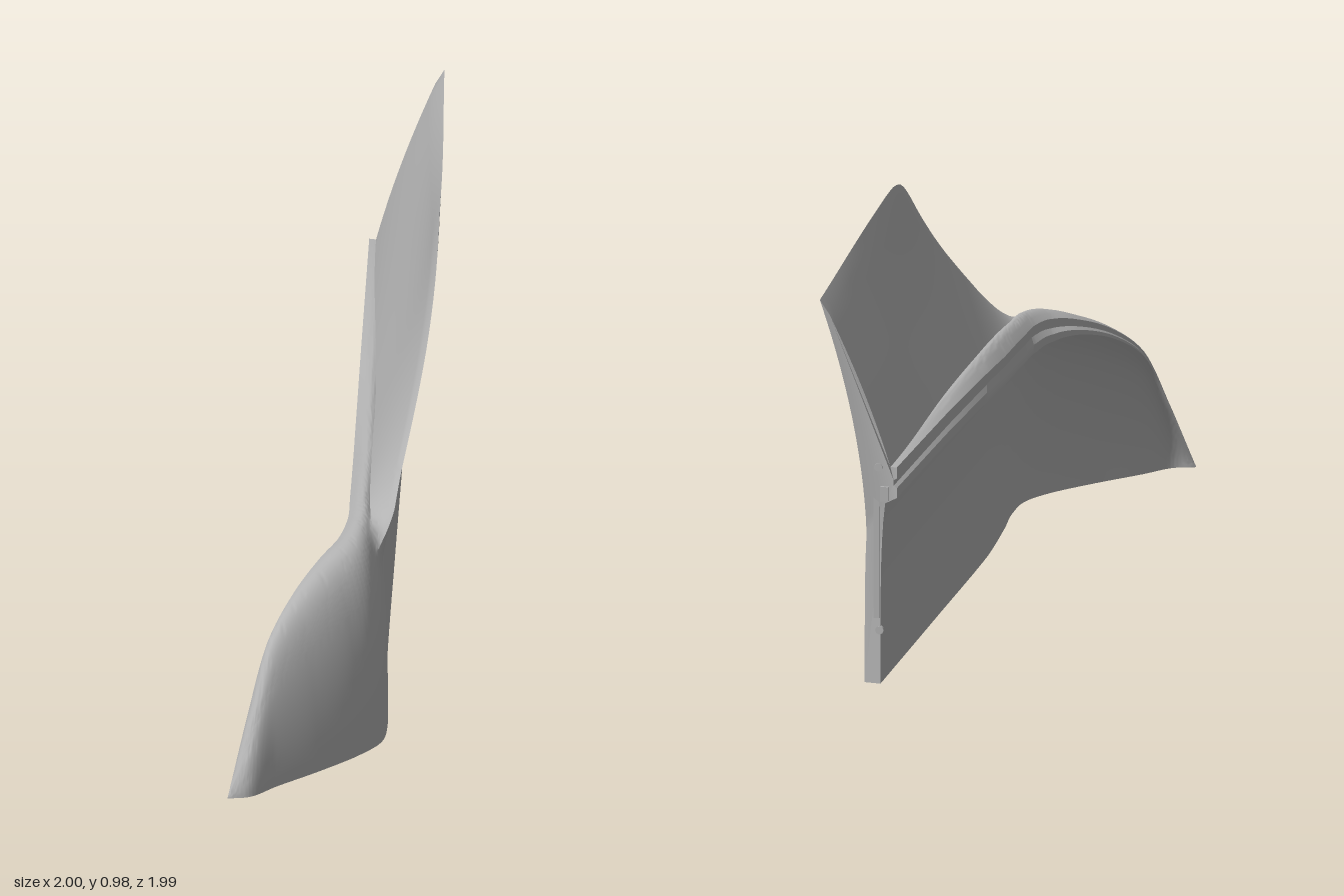
import * as THREE from 'three';
import { toCreasedNormals } from 'three/addons/utils/BufferGeometryUtils.js';

const V = (x, y, z) => new THREE.Vector3(x, y, z);
const { lerp, smoothstep, clamp } = THREE.MathUtils;
// wall frame: ALONG runs to the rear end, OUT points away from the outer face
const ALONG = V(0.602, 0, -0.798);
const OUT = V(0.798, 0, 0.602);
const wall = (s, n, y) => V(0, y, 0).addScaledVector(ALONG, s).addScaledVector(OUT, n);

// stations from nose to rear end:
// foot x, foot z, crest x, crest y, crest z, squareness, thickness weight, rail drop
const STATIONS = [
  [-1, 0.972, -0.998, 0.004, 0.971, 1.6, 0.01, 0],
  [-0.95, 0.993, -0.905, 0.16, 0.915, 1.6, 0.12, 0],
  [-0.85, 0.965, -0.8, 0.33, 0.855, 1.7, 0.25, 0.01],
  [-0.7, 0.93, -0.68, 0.425, 0.79, 1.9, 0.4, 0.025],
  [-0.55, 0.885, -0.55, 0.488, 0.72, 2.2, 0.6, 0.04],
  [-0.45, 0.835, -0.46, 0.517, 0.67, 2.5, 0.85, 0.05],
  [-0.36, 0.735, -0.37, 0.532, 0.585, 2.8, 1, 0.055],
  [-0.25, 0.575, -0.27, 0.537, 0.456, 3.2, 1, 0.055],
  [-0.05, 0.302, -0.1, 0.537, 0.232, 4, 1, 0.05],
  [0.4, -0.295, 0.35, 0.535, -0.364, 4, 1, 0.02],
  [0.88, -0.93, 0.83, 0.53, -1, 4, 1, 0],
];

// height of the flared panel's top edge along the wall
const TOP_EDGE = [
  [-0.84, 0.45], [-0.7, 0.515], [-0.575, 0.58], [-0.334, 0.73], [-0.046, 0.912],
  [0.02, 0.946], [0.08, 0.967], [0.16, 0.981], [0.25, 0.981], [1.35, 0.938],
];
function topHeight(s) {
  const i = clamp(TOP_EDGE.findIndex((p) => p[0] > s), 1, TOP_EDGE.length - 1);
  const [[s0, y0], [s1, y1]] = [TOP_EDGE[i - 1], TOP_EDGE[i]];
  return lerp(y0, y1, clamp((s - s0) / (s1 - s0), 0, 1));
}

// one cross-section: outer wall, flared panel, shoulder, rail, inner wall
function section(B, T, p, w, drop) {
  const H = T.y;
  const span = Math.hypot(T.x - B.x, T.z - B.z);
  const at = (lat, y) =>
    V(lerp(B.x, T.x, lat), y * (1 - (drop * lat * lat) / H), lerp(B.z, T.z, lat));
  const roll = (a) =>
    at(1 - Math.pow(Math.max(0, Math.cos(a)), 2 / p), H * Math.pow(Math.sin(a), 2 / p));

  // where the flared panel leaves the outer wall and where it meets the shoulder
  const aJoin = Math.asin(Math.pow(Math.min(0.36 / H, 0.7), p / 2));
  const join = roll(aJoin);
  const s = join.dot(ALONG);
  const rear = smoothstep(s, 0, 1.27);
  const aSeam = Math.max(aJoin + 0.1, Math.acos(Math.pow(1 - lerp(0.45, 0.8, rear), p / 2)));
  const aMid = (aJoin + aSeam) / 2;
  const seam = roll(aSeam);
  const top = topHeight(s);
  const grow = smoothstep(s, -0.86, -0.7);

  const outer = (y) => {
    const h = Math.max(0, y - join.y);
    const front = 0.12 * Math.pow(Math.sin(clamp((y - 0.4) / 0.58, 0, 1) * Math.PI / 2), 1.2);
    const back = 0.101 * Math.pow(h / 0.58, 1.8);
    return V(join.x, y, join.z)
      .addScaledVector(OUT, lerp(front, back, rear))
      .addScaledVector(ALONG, 0.12 * h * rear);
  };
  const toSeam = seam.clone().sub(outer(seam.y));

  const ring = [];
  for (let j = 0; j < 8; j++) ring.push(roll((aJoin * j) / 8));
  for (let j = 0; j <= 14; j++) {
    const v = j / 14;
    ring.push(roll(lerp(aJoin, aMid, v)).lerp(outer(lerp(join.y, top, v)), grow));
  }
  for (let j = 1; j <= 12; j++) {
    const v = j / 12;
    const inner = outer(lerp(top, seam.y, v))
      .addScaledVector(toSeam, v)
      .addScaledVector(OUT, -0.006 * (1 - v));
    ring.push(roll(lerp(aMid, aSeam, v)).lerp(inner, grow));
  }
  for (let j = 1; j <= 8; j++) ring.push(roll(lerp(aSeam, Math.PI / 2, j / 8)));

  // grooved rail
  for (const [lat, h] of [[1, 0.05], [0.9, 0.06], [0.9, 0.085], [1, 0.095], [1, 0.14]]) {
    ring.push(at(1 - (1 - lat) * w, H * (1 - h * w)));
  }
  // inner wall down to the foot
  const thick = Math.min((0.042 * w) / span, 0.7);
  for (let j = 0; j <= 10; j++) {
    const h = (1 - 0.17 * w) * (1 - j / 10);
    const lean = 1 - Math.pow(1 - Math.pow(h, p), 1 / p);
    ring.push(at(Math.min(1, lean + thick), H * h));
  }
  return ring;
}

function panelGeometry() {
  const foot = new THREE.CatmullRomCurve3(STATIONS.map((r) => V(r[0], 0, r[1])));
  const crest = new THREE.CatmullRomCurve3(STATIONS.map((r) => V(r[2], r[3], r[4])));
  const rings = [];
  const count = 160, last = STATIONS.length - 1;
  for (let i = 0; i <= count; i++) {
    const u = i / count;
    const k = Math.min(Math.floor(u * last), last - 1);
    const mix = (c) => lerp(STATIONS[k][c], STATIONS[k + 1][c], u * last - k);
    rings.push(section(foot.getPoint(u), crest.getPoint(u), mix(5), mix(6), mix(7)));
  }

  const pos = [];
  const tri = (...pts) => pts.forEach((q) => pos.push(q.x, q.y, q.z));
  const m = rings[0].length;
  for (let i = 0; i < count; i++) {
    for (let j = 0; j < m; j++) {
      const n = (j + 1) % m;
      tri(rings[i][j], rings[i + 1][j], rings[i + 1][n]);
      tri(rings[i][j], rings[i + 1][n], rings[i][n]);
    }
  }
  // rear end face
  const end = rings[count];
  const flat = end.map((q) => new THREE.Vector2(q.dot(OUT), q.y));
  for (const [a, b, c] of THREE.ShapeUtils.triangulateShape(flat, [])) {
    const turn = flat[b].clone().sub(flat[a]).cross(flat[c].clone().sub(flat[a]));
    if (turn > 0) tri(end[a], end[c], end[b]);
    else tri(end[a], end[b], end[c]);
  }
  const g = new THREE.BufferGeometry();
  g.setAttribute('position', new THREE.Float32BufferAttribute(pos, 3));
  return toCreasedNormals(g, 0.6);
}

export function createModel() {
  const model = new THREE.Group();
  const grey = new THREE.MeshStandardMaterial({ color: 0xb2b2b2 });
  grey.name = 'panel grey';
  const add = (name, geometry, parent = model) => {
    const mesh = new THREE.Mesh(geometry, grey);
    mesh.name = name;
    parent.add(mesh);
    return mesh;
  };

  add('sidePanel', panelGeometry());

  // fittings on the rear end face
  const fittings = new THREE.Group();
  fittings.name = 'endFittings';
  model.add(fittings);
  const place = (mesh, s, n, y) => {
    mesh.position.copy(wall(s, n, y));
    mesh.rotation.y = Math.atan2(ALONG.x, ALONG.z);
  };
  place(add('endStrip', new THREE.BoxGeometry(0.014, 0.3, 0.01), fittings), 1.283, 0.112, 0.31);
  place(add('latch', new THREE.BoxGeometry(0.02, 0.035, 0.016), fittings), 1.297, 0.09, 0.465);
  for (const [s, y] of [[1.28, 0.13], [1.297, 0.53]]) {
    const stud = new THREE.CylinderGeometry(0.01, 0.01, 0.012, 16).rotateX(Math.PI / 2);
    place(add('stud', stud, fittings), s, 0.105, y);
  }
  return model;
}
